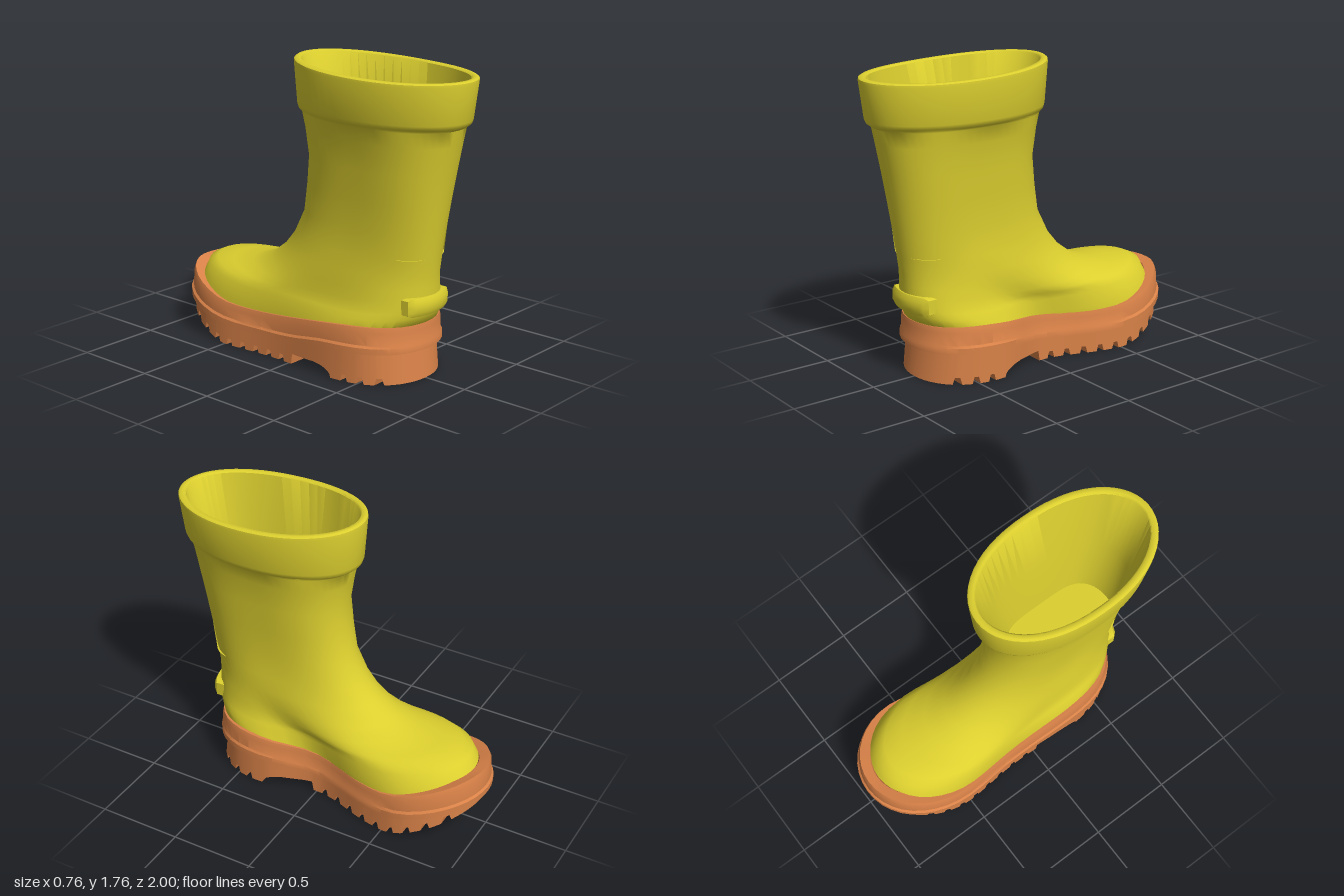
import * as THREE from 'three';
import { toCreasedNormals } from 'three/addons/utils/BufferGeometryUtils.js';

const N = 56; // points around each ring
const { lerp, clamp } = THREE.MathUtils;

// Smooth interpolation through [position, value] pairs
function curve(pts) {
  const slope = (i) => {
    const a = pts[Math.max(i - 1, 0)], b = pts[Math.min(i + 1, pts.length - 1)];
    return (b[1] - a[1]) / (b[0] - a[0]);
  };
  return (q) => {
    const x = clamp(q, pts[0][0], pts[pts.length - 1][0]);
    let i = 0;
    while (i < pts.length - 2 && x > pts[i + 1][0]) i++;
    const h = pts[i + 1][0] - pts[i][0], t = (x - pts[i][0]) / h, t2 = t * t, t3 = t2 * t;
    return pts[i][1] * (2 * t3 - 3 * t2 + 1) + slope(i) * h * (t3 - 2 * t2 + t)
      + pts[i + 1][1] * (3 * t2 - 2 * t3) + slope(i + 1) * h * (t3 - t2);
  };
}

// Footprint half widths on each side, s = -1 at the toe and 1 at the heel
const outerSide = curve([[-1, .44], [-.54, .405], [-.1, .355], [.3, .37], [1, .48]]);
const innerSide = curve([[-1, .44], [-.6, .425], [-.31, .36], [.14, .25], [.5, .36], [1, .47]]);
const footX = (s, side) => {
  const round = Math.sqrt(Math.max(0, 1 - Math.abs(s) ** 3));
  return round * (side < 0 ? -outerSide(s) : innerSide(s));
};
// Heights of the sole's top edge and its ridge along z
const soleTop = curve([[-.95, .395], [-.65, .3], [-.48, .262], [-.15, .26], [.4, .327], [.75, .335]]);
const ridge = curve([[-1, .235], [-.55, .135], [-.25, .12], [0, .13], [.3, .175], [.75, .185]]);
// Heel line of the upper: z at height y
const heelZ = curve([[.3, .69], [.35, .722], [.41, .768], [.6, .78], [.85, .815], [1.2, .875], [1.46, .93]]);

// Ground face: raised toe, flat ball, arch, flat heel
function ground(z) {
  if (z < -.5) return .19 * ((-.5 - z) / .47) ** 1.4;
  if (z < .025 || z > .33) return 0;
  return z > .2 ? .065 * Math.sqrt(1 - ((z - .2) / .13) ** 2) : .062;
}

function mesh(name, geometry, material) {
  const m = new THREE.Mesh(geometry, material);
  m.name = name;
  return m;
}
function build(pos, idx, crease) {
  const g = new THREE.BufferGeometry();
  g.setAttribute('position', new THREE.Float32BufferAttribute(pos, 3));
  g.setIndex(idx);
  return toCreasedNormals(g, crease);
}

// Skin a list of rings; each ring is a function (s, side) => [x, y, z]
function loft(rings, crease) {
  const pos = [], idx = [];
  rings.forEach((ring, r) => {
    for (let i = 0; i < N; i++) {
      const a = (i / N) * Math.PI * 2;
      pos.push(...ring(Math.cos(a), i <= N / 2 ? 1 : -1));
      if (r === rings.length - 1) continue;
      const p = r * N + i, q = r * N + ((i + 1) % N);
      idx.push(p, q, p + N, q, q + N, p + N);
    }
  });
  return build(pos, idx, crease);
}

// Tilted ring from front (zf, yf) to back (zb, yb): p sets how boxy the oval is, blend 0 is
// foot shaped and 1 oval, sag pulls it to the sole line, dip lowers its sides
function ring(zf, yf, zb, yb, w, { p = 2.2, blend = 1, sag = 0, dip = 0 } = {}) {
  return (s, side) => {
    const t = (s + 1) / 2, z = lerp(zf, zb, t);
    const oval = side * w * Math.sqrt(Math.max(0, 1 - Math.abs(s) ** p)) - .01;
    const x = lerp(footX(s, side) * w / .37, oval, blend);
    return [x, lerp(lerp(yf, yb, t), soleTop(z) - .03, sag) - dip * (1 - s * s), z];
  };
}

function upperGeometry() {
  // Foot: front z, front y, back y, half width
  const foot = [
    [-.92, .35, .3, .335], [-.9, .41, .36, .332], [-.87, .448, .39, .316], [-.81, .463, .42, .303],
    [-.68, .471, .45, .292], [-.52, .487, .5, .28], [-.38, .535, .55, .267],
  ].map(([zf, yf, yb, w], i) => ring(zf, yf, heelZ(yb), yb, w, {
    p: 2.2 + .05 * i,
    blend: (i / 7) ** 1.4,
    sag: Math.max(0, 1 - .45 * i),
    dip: .05 * Math.sin(Math.PI * i / 7),
  }));
  // Leg: front z, height, half width
  const leg = [
    [-.27, .617, .252], [-.19, .71, .236], [-.11, .86, .229], [-.08, 1.03, .24],
    [-.06, 1.2, .256], [-.085, 1.36, .275], [-.105, 1.45, .302],
  ].map(([zf, y, w], i) => ring(zf, y, heelZ(y), y, w, { p: 2.2 + Math.sin(Math.PI * (i + 1) / 8) }));
  // Folded cuff and rim: distance outward, height from 0 to 1
  const cuff = [
    [-.014, 0], [-.002, .04], [.003, .12], [0, .92], [-.003, .975], [-.014, 1], [-.036, 1], [-.046, .97],
  ].map(([out, h]) => ring(lerp(-.137, -.162, h) - out, lerp(1.46, 1.758, h), lerp(.963, 1.001, h) + out,
    lerp(1.462, 1.722, h), lerp(.325, .354, h) + out, { dip: .012 * h }));
  // Lining and insole
  const lining = [
    ring(-.04, 1.2, .86, 1.2, .235, { p: 2.9 }), ring(.1, .72, .79, .72, .2, { p: 4.5 }),
    ring(.44, .72, .441, .72, .0005),
  ];
  return loft([...foot, ...leg, ...cuff, ...lining], .8);
}

// Sole band: raised ridge below, rounded lip above; each row is inset, base line, rise
function bandGeometry() {
  const rows = [
    [.07, ridge, .005], [0, ridge, 0], [0, ridge, .035], [.012, ridge, .048],
    [.016, soleTop, -.03], [.026, soleTop, 0], [.085, soleTop, -.003], [.11, soleTop, -.04],
  ];
  return loft(rows.map(([inset, line, rise]) => (s, side) => {
    const z = lerp(-1 + inset, .75 - inset / 2, (s + 1) / 2);
    return [footX(s, side) * (1 - inset / .42), line(z) + rise, z];
  }), .6);
}

// Tread: slices along z with grooves cut across
function treadGeometry() {
  const half = .8525, mid = -.1225, grooves = [], zs = [.02, .03, .3, .315, .325, .33];
  for (let i = 0; i < 9; i++) grooves.push(-.06 - .1 * i);
  for (let i = 0; i < 3; i++) grooves.push(.42 + .095 * i);
  for (let i = 0; i <= 40; i++) zs.push(mid - half * Math.cos((i / 40) * Math.PI));
  for (const g of grooves) zs.push(g - .022, g - .012, g + .012, g + .022);
  zs.sort((a, b) => a - b);
  const pos = [], idx = [];
  zs.forEach((z, j) => {
    const s = clamp((z - mid) / half, -1, 1);
    const near = Math.min(...grooves.map((g) => Math.abs(z - g)));
    const depth = .04 * clamp((.022 - near) / .01, 0, 1);
    const l = footX(s, -1) * .965, r = footX(s, 1) * .965;
    const top = ridge(z) + .02, low = Math.min(ground(z) + depth, top - .01);
    const topZ = z - .13 * Math.max(0, z - .5); // the heel flares towards the ground
    pos.push(l, top, topZ, l, low, z, r, low, z, r, top, topZ);
    if (j === zs.length - 1) return;
    for (let k = 0; k < 3; k++) {
      const p = j * 4 + k;
      idx.push(p, p + 1, p + 4, p + 1, p + 5, p + 4);
    }
  });
  return build(pos, idx, .5);
}

// Heel tab: bevelled bar bent around the heel
function tabGeometry() {
  const g = new THREE.BoxGeometry(.35, .105, .09, 16, 4, 3);
  const p = g.attributes.position;
  for (let i = 0; i < p.count; i++) {
    const x = p.getX(i), y = p.getY(i), z = p.getZ(i);
    const edge = Math.abs(y) > .05 || Math.abs(x) > .17 ? .014 : 0;
    p.setZ(i, z - 1.5 * x * x - (z > .04 ? edge : 0));
    if (Math.abs(x) > .17) p.setY(i, y * .8);
  }
  return toCreasedNormals(g, .7);
}

export function createModel() {
  const yellow = new THREE.MeshStandardMaterial({ color: 0xdccf2f });
  yellow.name = 'yellow rubber';
  const orange = new THREE.MeshStandardMaterial({ color: 0xd98248 });
  orange.name = 'orange rubber';

  const boot = new THREE.Group();
  boot.name = 'rainBoot';
  const tab = mesh('heelTab', tabGeometry(), yellow);
  tab.position.set(-.005, .452, .752);
  boot.add(
    mesh('upper', upperGeometry(), yellow), tab,
    mesh('soleBand', bandGeometry(), orange),
    mesh('tread', treadGeometry(), orange),
  );
  return boot;
}
